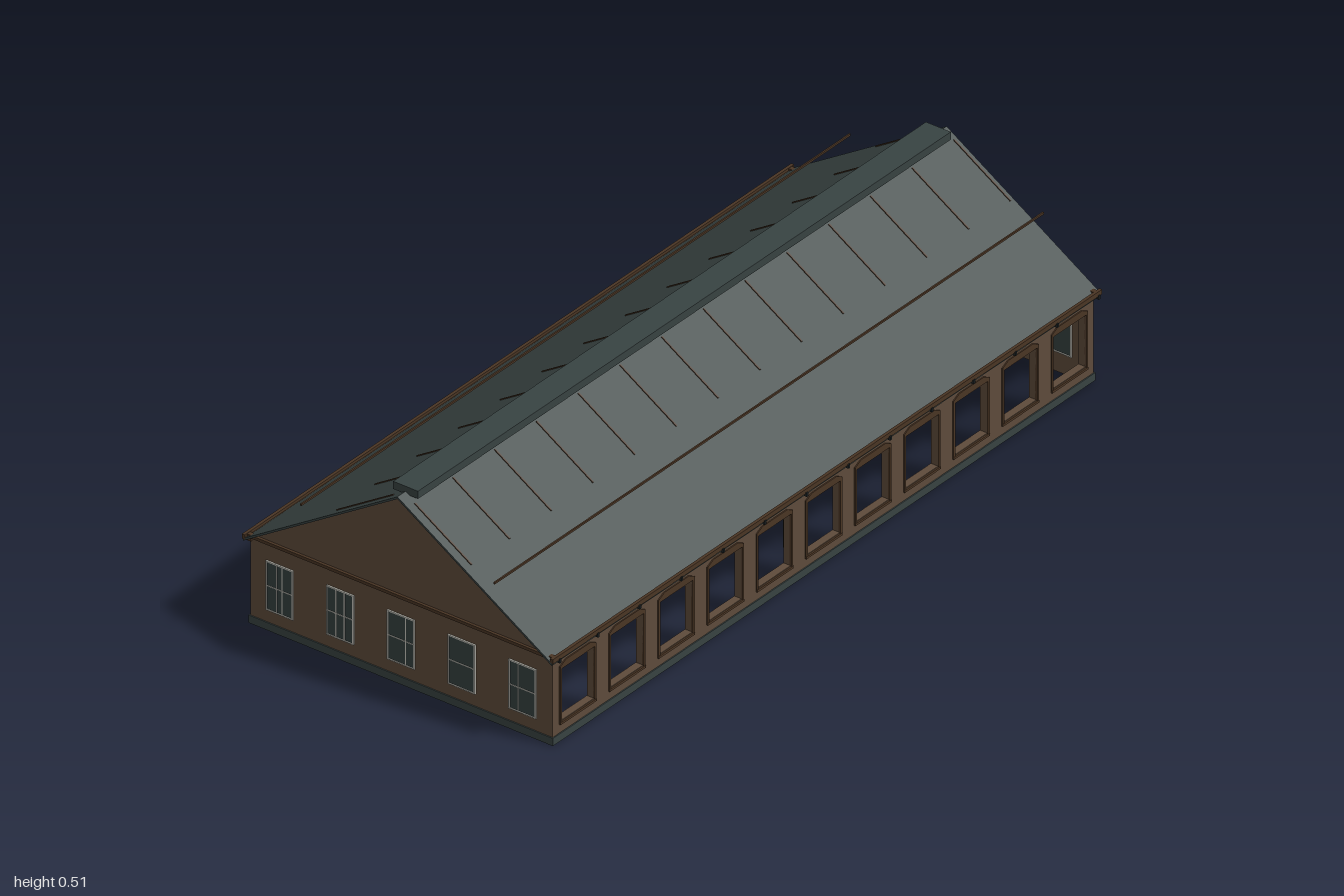
import * as THREE from 'three';

const mat = (name, color) => {
  const m = new THREE.MeshStandardMaterial({ color });
  m.name = name;
  return m;
};

export function createModel() {
  const root = new THREE.Group();
  root.name = 'longHall';
  const wall = mat('brown wall', 0x5e4b3b);
  const trim = mat('dark brown trim', 0x4a3524);
  const slate = mat('slate roof', 0x384342);
  const glass = mat('window glass', 0x364140);
  const frame = mat('pale window frame', 0xc9c8bf);
  const iron = mat('dark iron', 0x1e2426);

  const add = (geo, m, name, parent = root) => {
    const mesh = new THREE.Mesh(geo, m);
    mesh.name = name;
    parent.add(mesh);
    return mesh;
  };
  const box = (w, h, d, x, y, z, m, name, parent) => {
    const b = add(new THREE.BoxGeometry(w, h, d), m, name, parent);
    b.position.set(x, y, z);
    return b;
  };
  const extrude = (shape, depth) =>
    new THREE.ExtrudeGeometry(shape, { depth, bevelEnabled: false }).translate(0, 0, -depth / 2);
  const poly = (pts) => new THREE.Shape(pts.map(([x, y]) => new THREE.Vector2(x, y)));

  const X = 0.985, Z = 0.427, T = 0.02, EAVE = 0.23, PEAK = 0.497, EDGE = 0.436;
  const slope = (PEAK - 0.224) / EDGE;
  const roofY = (z) => PEAK - slope * Math.abs(z);
  const angle = Math.atan(slope);
  const bays = Array.from({ length: 11 }, (_, i) => (i - 5) * 0.179);
  const trussX = Array.from({ length: 13 }, (_, i) => (i - 6) * 0.152 + 0.076).concat(-0.836, -0.975);

  // Front wall: an open arcade of rectangular bays
  const front = poly([[-X, 0], [X, 0], [X, EAVE], [-X, EAVE]]);
  for (const x of bays) {
    const hole = new THREE.Path();
    hole.moveTo(x - 0.06, 0.05).lineTo(x - 0.06, 0.187).lineTo(x + 0.06, 0.187).lineTo(x + 0.06, 0.05).closePath();
    front.holes.push(hole);
  }
  add(extrude(front, T), wall, 'frontWall').position.z = Z - T / 2;
  for (const x of bays) {
    const bay = new THREE.Group();
    bay.name = 'frontBaySurround';
    bay.position.set(x, 0, Z);
    root.add(bay);
    for (const s of [-1, 1]) box(0.006, 0.15, 0.006, s * 0.063, 0.118, 0, trim, 'jamb', bay);
    box(0.132, 0.006, 0.008, 0, 0.045, 0, trim, 'sill', bay);
    add(extrude(poly([[-0.066, 0.187], [0.066, 0.187], [0.066, 0.194], [0.045, 0.205], [-0.045, 0.205], [-0.066, 0.194]]), 0.006),
      trim, 'lintel', bay);
  }

  // Back wall and the two gable walls
  box(2 * X, EAVE, T, 0, EAVE / 2, -Z + T / 2, wall, 'backWall');
  const g = 0.006;
  const gable = poly([[-Z, 0], [Z, 0], [Z, roofY(Z) - g], [0, PEAK - g], [-Z, roofY(Z) - g]]);
  for (const s of [-1, 1]) {
    const m = add(extrude(gable, T).rotateY(Math.PI / 2), wall, 'gableWall');
    m.position.x = s * (X - T / 2);
  }

  // Glazed windows, visible from both sides of the wall
  const addWindow = (x, z, turn, mullions) => {
    const w = new THREE.Group();
    w.name = 'window';
    w.position.set(x, 0.117, z);
    w.rotation.y = turn;
    root.add(w);
    const W = 0.074, H = 0.126, b = 0.003;
    box(W, H, T + 0.004, 0, 0, 0, glass, 'pane', w);
    for (const s of [-1, 1]) {
      box(b, H, T + 0.008, s * W / 2, 0, 0, frame, 'frameSide', w);
      box(W + b, b, T + 0.008, 0, s * H / 2, 0, frame, 'frameRail', w);
    }
    box(W, 0.002, 0.003, 0, 0, T / 2 + 0.002, frame, 'crossBar', w);
    for (const u of mullions) box(0.002, H, 0.003, u, 0, T / 2 + 0.002, frame, 'mullion', w);
  };
  const patterns = [[-0.012], [], [0.014], [-0.012, 0.012], [-0.008, 0.008]];
  bays.forEach((x, i) => addWindow(x, -Z + T / 2, Math.PI, patterns[i % 5]));
  for (const s of [-1, 1])
    for (let i = 0; i < 5; i++)
      addWindow(s * (X - T / 2), (2 - i) * 0.1715, s * Math.PI / 2, patterns[i]);

  // Plinth and cornice around the building
  for (const s of [-1, 1]) {
    box(2 * X + 0.006, 0.02, 0.012, 0, 0.01, s * (Z - 0.003), slate, 'plinthLong');
    box(0.012, 0.02, 2 * Z + 0.006, s * (X - 0.003), 0.01, 0, slate, 'plinthEnd');
    box(2 * X + 0.01, 0.012, 0.012, 0, 0.222, s * (Z + 0.001), trim, 'corniceLong');
    box(0.012, 0.008, 2 * Z + 0.01, s * (X + 0.001), 0.23, 0, trim, 'corniceEnd');
    box(2, 0.012, 0.008, 0, 0.229, s * 0.435, trim, 'gutter');
    for (const x of trussX) box(0.006, 0.01, 0.008, x, 0.221, s * 0.438, iron, 'gutterBracket');
  }

  // Roof: a thin folded sheet with a raised ridge cap
  const t = 0.006, e = roofY(EDGE);
  const roof = poly([[-EDGE, e - t], [0, PEAK - t], [EDGE, e - t], [EDGE, e], [0, PEAK], [-EDGE, e]]);
  add(extrude(roof, 2).rotateY(Math.PI / 2), slate, 'roof');
  box(1.94, 0.02, 0.07, 0, 0.5, 0, slate, 'ridgeCap');

  // Rafters beneath, short ribs above, and the snow rails
  const len = (Z - 0.015) / Math.cos(angle);
  for (const s of [-1, 1]) {
    for (const x of trussX) {
      const rx = Math.max(-0.96, Math.min(0.96, x));
      const r = box(0.008, 0.012, len, rx, roofY(Z / 2) - 0.014, s * Z / 2, trim, 'rafter');
      r.rotation.x = s * angle;
      const rib = box(0.004, 0.003, 0.16 / Math.cos(angle), x, roofY(0.11) + 0.001, s * 0.11, trim, 'roofRib');
      rib.rotation.x = s * angle;
    }
    box(2, 0.005, 0.004, 0, 0.373, s * 0.273, trim, 'roofRail');
  }

  // Row of iron posts across the middle
  for (const z of [-0.32, -0.11, 0.11, 0.32]) {
    const h = roofY(z) - 0.012;
    const p = add(new THREE.CylinderGeometry(0.005, 0.005, h, 10), iron, 'post');
    p.position.set(0, h / 2, z);
  }
  return root;
}
